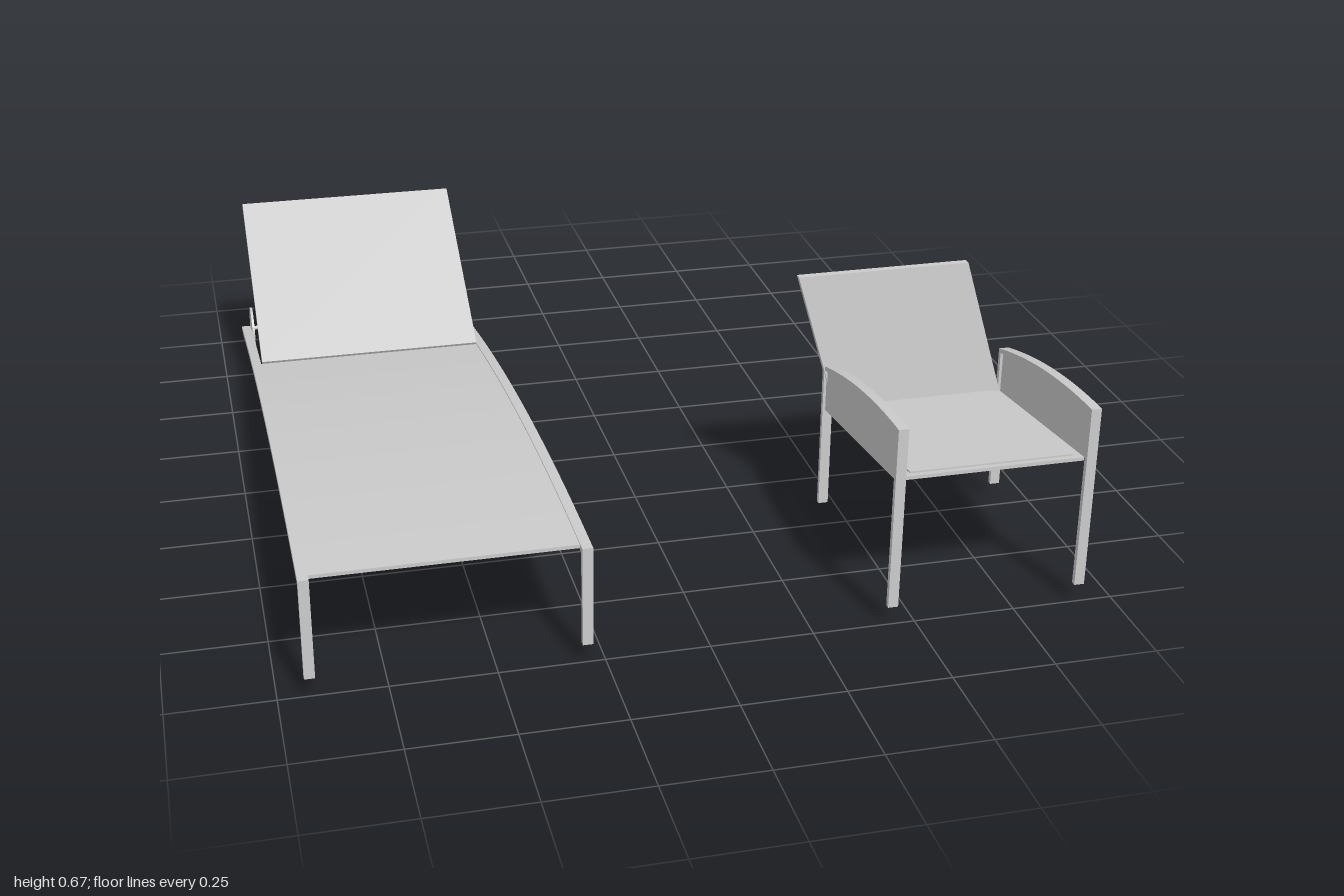
import * as THREE from 'three';
import { toCreasedNormals } from 'three/addons/utils/BufferGeometryUtils.js';

const material = new THREE.MeshStandardMaterial({ color: 0xcccccc, side: THREE.DoubleSide });

function add(parent, name, geometry, x = 0, y = 0, z = 0) {
  const mesh = new THREE.Mesh(geometry, material);
  mesh.name = name;
  mesh.position.set(x, y, z);
  parent.add(mesh);
  return mesh;
}

// Side profile of [z, y] points, extruded across x from x0 to x1
function sideExtrude(parent, name, points, x0, x1) {
  const shape = new THREE.Shape(points.map(([z, y]) => new THREE.Vector2(z, y)));
  const geometry = new THREE.ExtrudeGeometry(shape, { depth: x1 - x0, bevelEnabled: false });
  geometry.rotateY(-Math.PI / 2);
  return add(parent, name, toCreasedNormals(geometry, 0.5), x1);
}

// Closed band between two height functions of z
function band(top, bottom, z0, z1, steps = 24) {
  const upper = [], lower = [];
  for (let i = 0; i <= steps; i++) {
    const z = z0 + (z1 - z0) * i / steps;
    upper.push([z, top(z)]);
    lower.unshift([z, bottom(z)]);
  }
  return [...upper, ...lower];
}

function box(parent, name, x0, x1, y0, y1, z0, z1) {
  return add(parent, name, new THREE.BoxGeometry(x1 - x0, y1 - y0, z1 - z0),
    (x0 + x1) / 2, (y0 + y1) / 2, (z0 + z1) / 2);
}

function createLounger() {
  const lounger = new THREE.Group();
  lounger.name = 'lounger';
  const railTop = z => 0.297 - 0.0595 * (1 - z) ** 2;
  const railBottom = z => Math.max(railTop(z) - 0.016, 0.065);

  // Curved side rails and front legs
  for (const x of [-0.938, -0.303]) {
    sideExtrude(lounger, 'sideRail', band(railTop, railBottom, -0.945, 1, 40), x, x + 0.025);
    box(lounger, 'loungerLeg', x, x + 0.025, 0.045, 0.29, 0.986, 1);
  }

  // Lying surface and raised backrest
  sideExtrude(lounger, 'lyingSurface',
    band(z => railTop(z) - 0.003, z => railTop(z) - 0.012, -0.44, 0.974), -0.913, -0.303);
  sideExtrude(lounger, 'loungerBackrest',
    [[-0.435, 0.178], [-0.928, 0.47], [-0.936, 0.457], [-0.443, 0.165]], -0.91, -0.303);

  // Wheels and axle
  for (const x of [-0.907, -0.308]) {
    const wheel = new THREE.CylinderGeometry(0.065, 0.065, 0.007, 32);
    wheel.rotateZ(Math.PI / 2);
    add(lounger, 'wheel', toCreasedNormals(wheel, 0.6), x, 0.065, -0.935);
  }
  const axle = new THREE.CylinderGeometry(0.006, 0.006, 0.6, 12);
  axle.rotateZ(Math.PI / 2);
  add(lounger, 'axle', axle, -0.6075, 0.068, -0.935);
  return lounger;
}

function createChair() {
  const chair = new THREE.Group();
  chair.name = 'armchair';
  const armTop = z => 0.512 - 0.28 * (1 - z) ** 2;
  const armBottom = z => armTop(z) - 0.012;
  const seatLine = z => 0.31 + (z - 0.46) * 0.12;

  // Legs, arched armrests and side panels
  for (const x of [0.432, 0.903]) {
    box(chair, 'frontLeg', x, x + 0.025, 0.045, 0.505, 0.987, 1);
    box(chair, 'rearLeg', x, x + 0.025, 0.045, 0.422, 0.457, 0.469);
    sideExtrude(chair, 'armrest', band(armTop, armBottom, 0.457, 1), x, x + 0.025);
    sideExtrude(chair, 'sidePanel', band(armBottom, seatLine, 0.465, 0.99), x + 0.007, x + 0.018);
  }

  // Sloping seat frame with a slightly raised panel
  sideExtrude(chair, 'seatFrame', band(z => seatLine(z) + 0.009, seatLine, 0.46, 0.985, 1), 0.457, 0.903);
  sideExtrude(chair, 'seatPanel',
    band(z => seatLine(z) + 0.013, z => seatLine(z) + 0.004, 0.48, 0.968, 1), 0.478, 0.881);

  // Backrest, leaning back and sheared sideways
  const back = new THREE.BoxGeometry(0.443, 0.36, 0.018);
  back.applyMatrix4(new THREE.Matrix4().set(
    1, -0.272, 0, 0,
    0, 1, 0, 0,
    0, -0.105, 1, 0,
    0, 0, 0, 1));
  back.computeVertexNormals();
  add(chair, 'chairBackrest', back, 0.634, 0.49, 0.457);
  return chair;
}

export function createModel() {
  const model = new THREE.Group();
  model.name = 'patioFurniture';
  model.add(createLounger(), createChair());
  return model;
}
